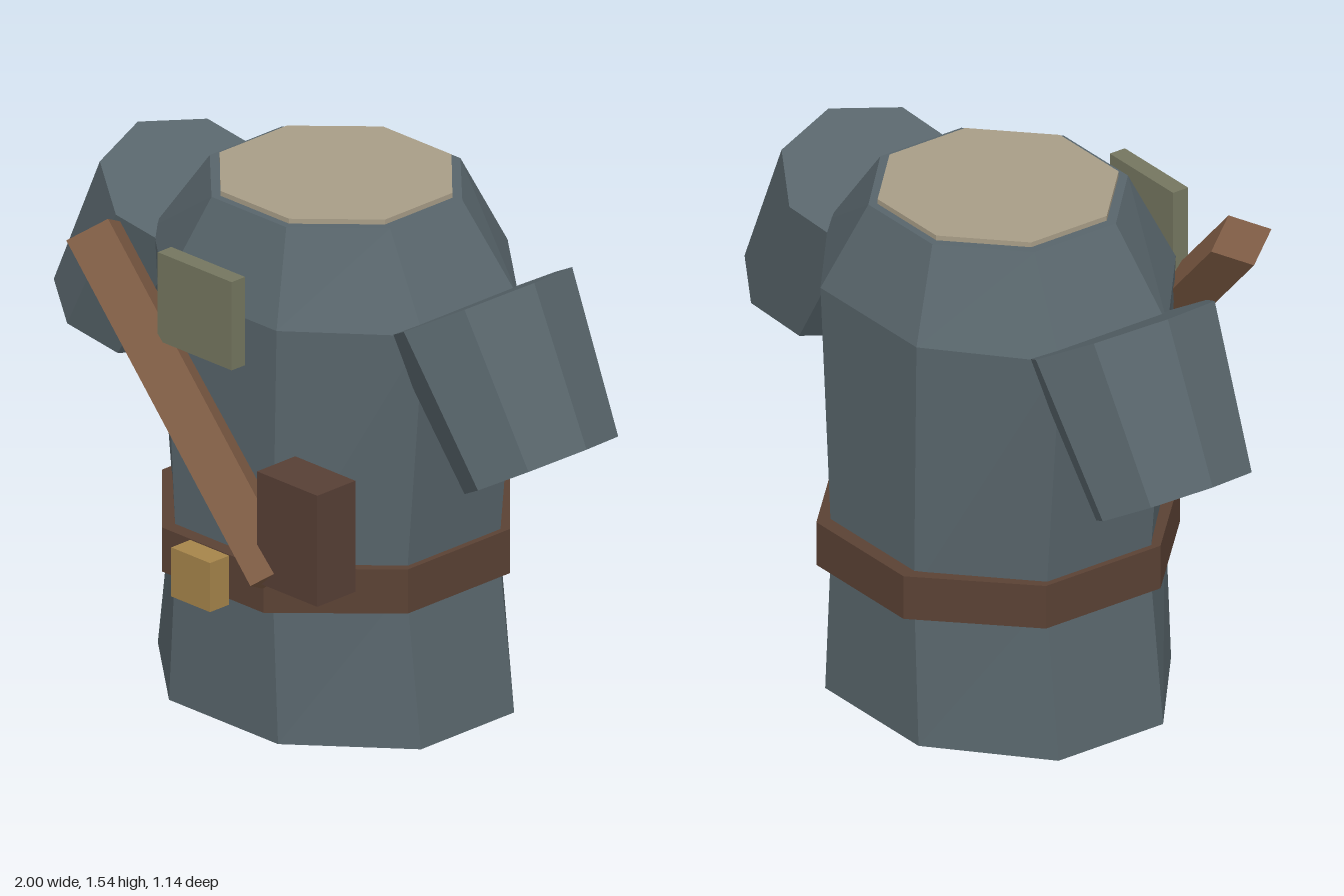
import * as THREE from 'three';

const paint = (name, color) => {
  const m = new THREE.MeshStandardMaterial({ color });
  m.name = name;
  return m;
};

export function createModel() {
  const group = new THREE.Group();
  const cloth = paint('slate cloth', 0x58656b);
  const lining = paint('cream lining', 0xa89d87);
  const beltLeather = paint('belt leather', 0x5a4134);
  const pouchLeather = paint('pouch leather', 0x573f35);
  const strapLeather = paint('strap leather', 0x7c5a43);
  const brass = paint('brass', 0xa5844a);
  const olive = paint('olive patch', 0x74765f);
  const bodyZ = -0.087;

  // Adds a faceted mesh
  function add(name, geometry, material, x, y, z) {
    const flat = geometry.index ? geometry.toNonIndexed() : geometry;
    flat.computeVertexNormals();
    const mesh = new THREE.Mesh(flat, material);
    mesh.name = name;
    mesh.position.set(x, y, z);
    group.add(mesh);
    return mesh;
  }

  // Closed eight-sided loft; each ring is [y, half width, half depth] across the flats
  function octagonLoft(rings) {
    const n = rings.length - 1;
    const geo = new THREE.CylinderGeometry(1, 1, n, 8, n);
    geo.rotateY(Math.PI / 8);
    const p = geo.attributes.position;
    const k = 1 / Math.cos(Math.PI / 8);
    for (let i = 0; i < p.count; i++) {
      const [y, w, d] = rings[Math.round(p.getY(i) + n / 2)];
      p.setXYZ(i, p.getX(i) * w * k, y, p.getZ(i) * d * k);
    }
    return geo;
  }

  // Tunic: hem, waist, chest, shoulders
  add('tunicBody', octagonLoft([
    [0, 0.525, 0.443], [0.48, 0.465, 0.44], [1.27, 0.54, 0.455], [1.53, 0.36, 0.343],
  ]), cloth, 0, 0, bodyZ);
  add('neckLining', octagonLoft([[1.5, 0.33, 0.32], [1.545, 0.33, 0.32]]), lining, 0, 0, bodyZ);
  add('belt', octagonLoft([[0.41, 0.49, 0.485], [0.545, 0.49, 0.485]]), beltLeather, 0, 0, bodyZ);

  // Sleeves, tapering towards the cuff and tilted outwards
  for (const side of [1, -1]) {
    const geo = new THREE.CylinderGeometry(0.3, 0.25, 0.49, 8);
    geo.scale(0.833, 1, 1);
    const sleeve = add(side > 0 ? 'leftSleeve' : 'rightSleeve', geo, cloth, side * 0.697, 1.117, bodyZ);
    sleeve.rotation.z = side * Math.PI / 6;
  }

  // Diagonal strap with a diamond section
  const top = new THREE.Vector3(-0.44, 1.39, 0.435);
  const bottom = new THREE.Vector3(0.325, 0.58, 0.465);
  const along = top.clone().sub(bottom);
  const strapGeo = new THREE.CylinderGeometry(1, 1, along.length(), 4);
  strapGeo.scale(0.08, 1, 0.105);
  const mid = top.clone().add(bottom).multiplyScalar(0.5);
  const strap = add('chestStrap', strapGeo, strapLeather, mid.x, mid.y, mid.z);
  strap.quaternion.setFromUnitVectors(new THREE.Vector3(0, 1, 0), along.normalize());

  // Fittings on the front
  add('pouch', new THREE.BoxGeometry(0.24, 0.34, 0.15), pouchLeather, 0.41, 0.735, 0.435);
  add('buckle', new THREE.BoxGeometry(0.155, 0.15, 0.075), brass, 0, 0.475, 0.448);
  add('chestPatch', new THREE.BoxGeometry(0.295, 0.27, 0.053), olive, -0.003, 1.29, 0.44);

  return group;
}
